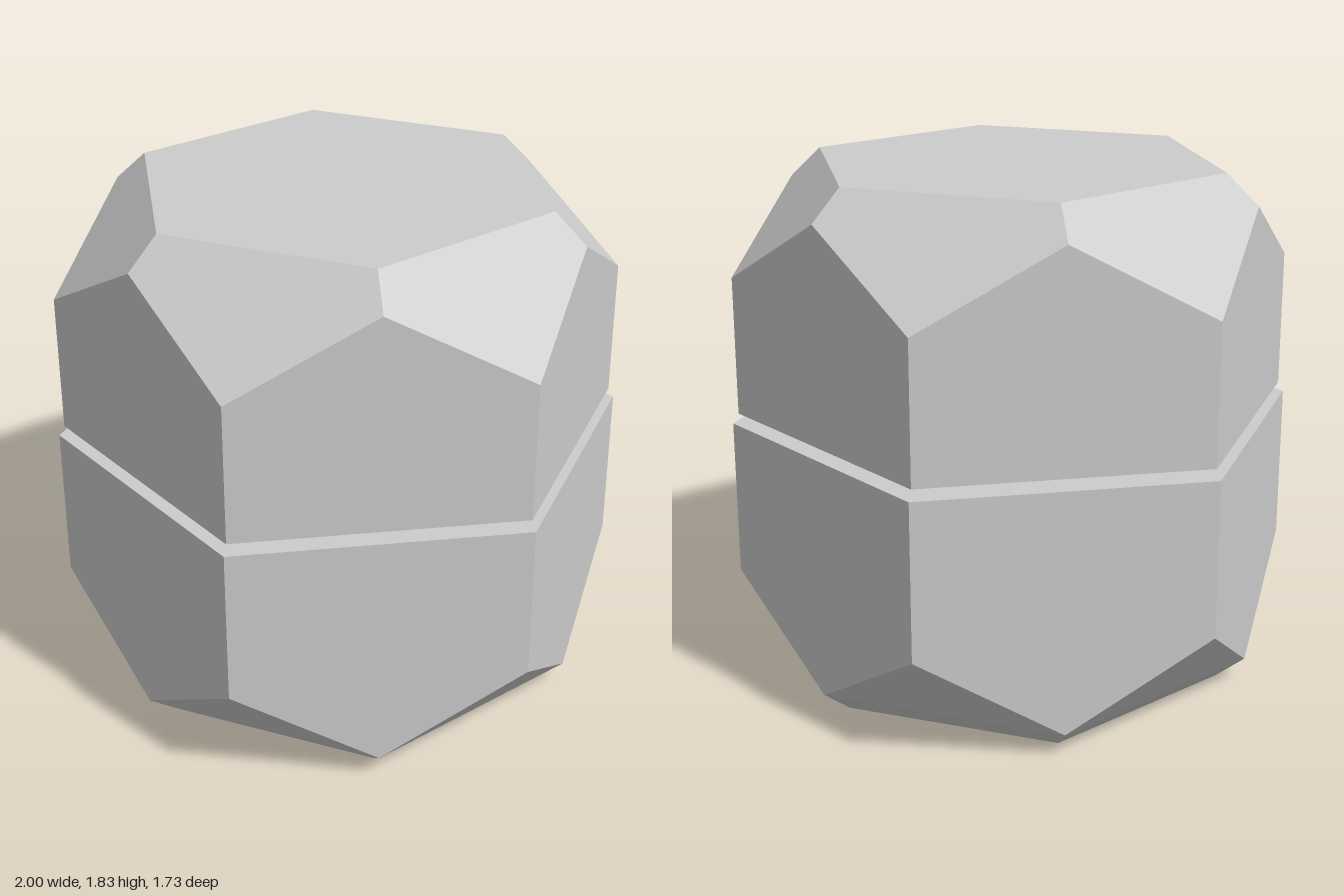
import * as THREE from 'three';

// Point at a hexagon step (1 step = 60 degrees) with a radius and height
const at = (step, r, y) => {
  const a = step * Math.PI / 3;
  return [r * Math.cos(a), y, r * Math.sin(a)];
};

// Hexagonal block whose corners are cut off towards one end (the cap)
function cutBlock({ radius, seamY, cornerY, midY, capY, capRadius }) {
  const pos = [];
  const up = capY > seamY;
  const face = (...p) => {
    if (!up) p.reverse();
    for (let i = 1; i < p.length - 1; i++) pos.push(...p[0], ...p[i], ...p[i + 1]);
  };
  const apothem = radius * Math.cos(Math.PI / 6);
  for (let k = 0; k < 6; k++) {
    const a0 = at(k, radius, seamY), b0 = at(k + 1, radius, seamY);
    const a1 = at(k, radius, cornerY), b1 = at(k + 1, radius, cornerY);
    const m = at(k + 0.5, apothem, midY), n = at(k + 1.5, apothem, midY);
    const mc = at(k + 0.5, capRadius, capY), nc = at(k + 1.5, capRadius, capY);
    face(a0, a1, m, b1, b0);       // five-sided wall
    face(b1, m, n);                // cut corner
    face(m, mc, nc, n);            // bevel to the cap
    face([0, capY, 0], nc, mc);    // cap
    face([0, seamY, 0], a0, b0);   // seam face
  }
  const geo = new THREE.BufferGeometry();
  geo.setAttribute('position', new THREE.Float32BufferAttribute(pos, 3));
  geo.computeVertexNormals();
  return geo;
}

export function createModel() {
  const group = new THREE.Group();
  const grey = new THREE.MeshStandardMaterial({ color: 0xcccccc });
  grey.name = 'light grey';

  const add = (name, geo, y = 0) => {
    const mesh = new THREE.Mesh(geo, grey);
    mesh.name = name;
    mesh.position.y = y;
    group.add(mesh);
  };

  add('lowerHalf', cutBlock({
    radius: 1, seamY: 0.94, cornerY: 0.39, midY: 0.085, capY: 0, capRadius: 0.76,
  }));
  add('upperHalf', cutBlock({
    radius: 0.98, seamY: 0.975, cornerY: 1.46, midY: 1.725, capY: 1.83, capRadius: 0.737,
  }));

  // Round plate under the upper half and shallow rise on the lower half
  add('seamPlate', new THREE.CylinderGeometry(0.77, 0.75, 0.014, 48), 0.968);
  add('seamRise', new THREE.CylinderGeometry(0.1, 0.72, 0.02, 48), 0.951);

  return group;
}
